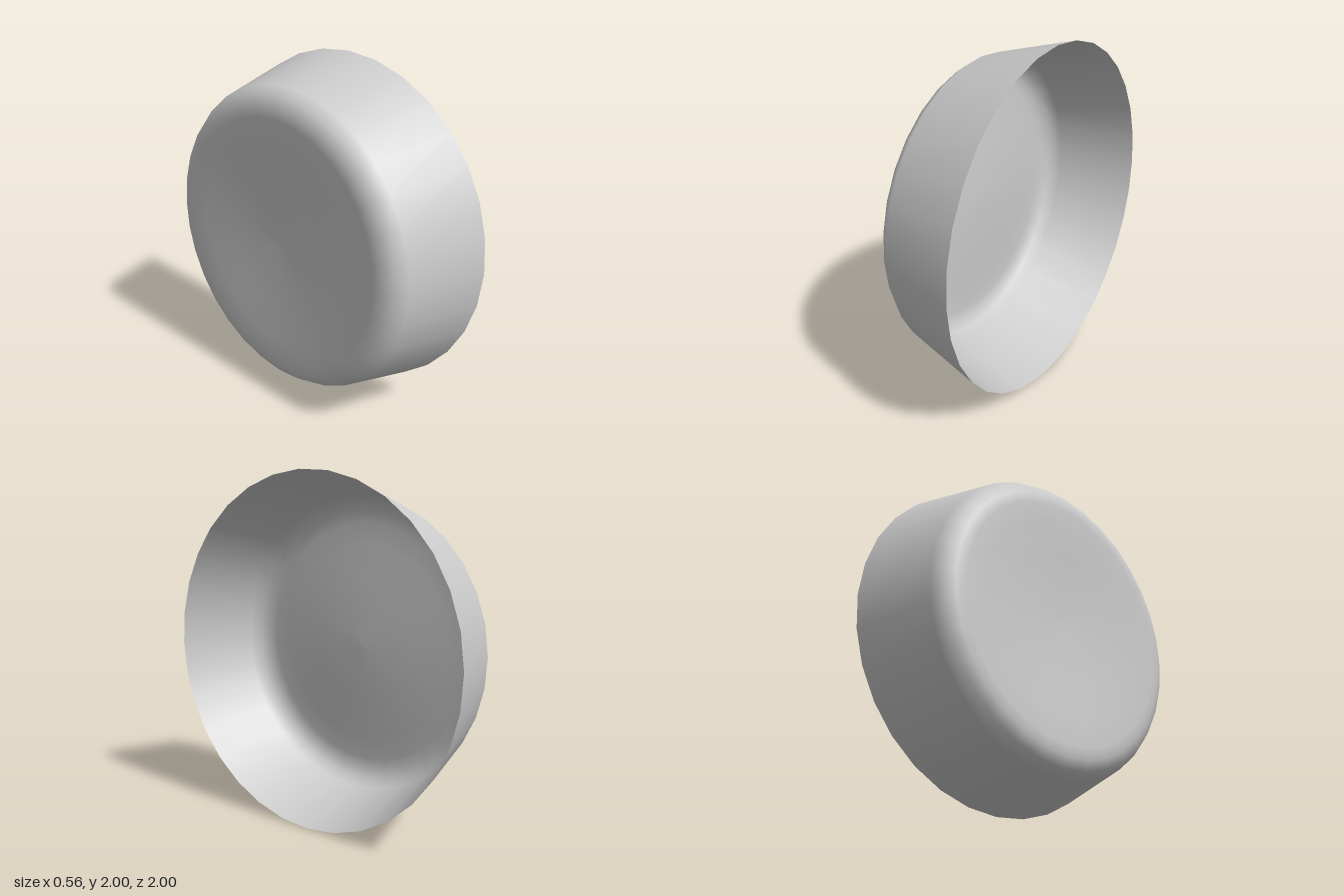
import * as THREE from 'three';

export function createModel() {
  const group = new THREE.Group();
  group.name = 'dish';

  // Profile as [radius, position along the axis]: base bulging gently inward,
  // rounded corner, flared wall
  const profile = [
    [0, -0.24], [0.2, -0.246], [0.4, -0.259], [0.6, -0.273], [0.72, -0.279],
    [0.78, -0.274], [0.836, -0.247], [0.877, -0.19], [1, 0.279],
  ].map(([r, h]) => new THREE.Vector2(r, h));

  // Thin open shell, turned so that the mouth faces +x
  const geometry = new THREE.LatheGeometry(profile, 32);
  geometry.rotateZ(-Math.PI / 2);
  geometry.rotateX(0.022);

  const shell = new THREE.Mesh(
    geometry,
    new THREE.MeshStandardMaterial({ color: 0xcccccc, side: THREE.DoubleSide })
  );
  shell.name = 'dishShell';
  shell.position.y = 1;
  group.add(shell);
  return group;
}
